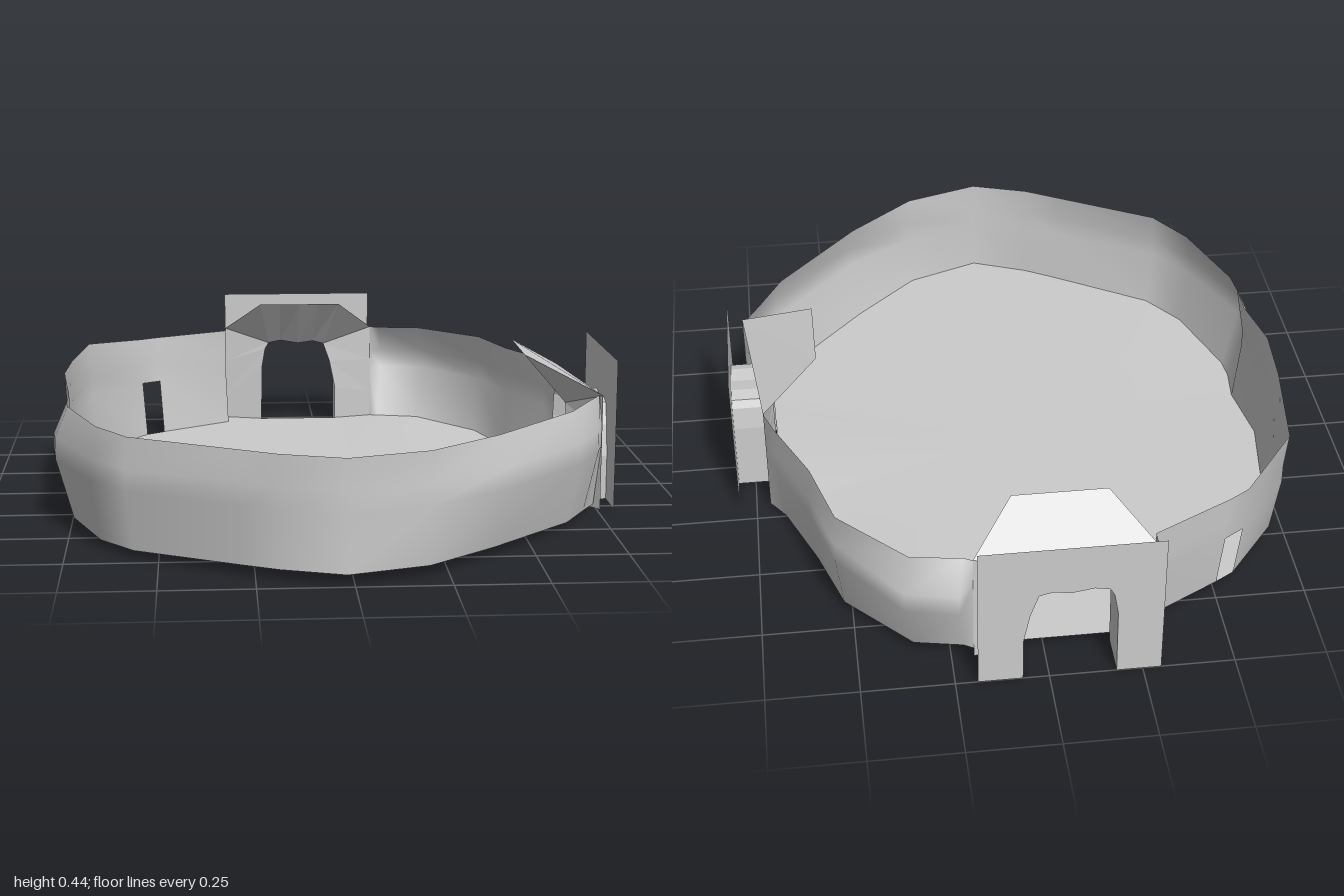
import * as THREE from 'three';

const mat = new THREE.MeshStandardMaterial({ color: 0xcccccc, side: THREE.DoubleSide });
const flat = new THREE.MeshStandardMaterial({ color: 0xcccccc, side: THREE.DoubleSide, flatShading: true });

function mesh(name, geometry, material = mat) {
  const m = new THREE.Mesh(geometry, material);
  m.name = name;
  return m;
}

function indexed(points, index) {
  const g = new THREE.BufferGeometry();
  g.setAttribute('position', new THREE.Float32BufferAttribute(points.flat(), 3));
  g.setIndex(index);
  g.computeVertexNormals();
  return g;
}

// Surface between rows of points; skip(row, column) leaves a hole
function grid(rows, skip = () => false) {
  const n = rows[0].length, index = [];
  for (let r = 0; r < rows.length - 1; r++) {
    for (let c = 0; c < n - 1; c++) {
      if (skip(r, c)) continue;
      const a = r * n + c, b = a + n;
      index.push(a, a + 1, b, a + 1, b + 1, b);
    }
  }
  return indexed(rows.flat(), index);
}

// Wall plan: x, z at mid height, then outward shift of the rim and of the base
const longWall = [
  [0.76, 0.285, -0.01, -0.02], [0.735, 0.37, -0.03, -0.04], [0.66, 0.51, -0.03, -0.04],
  [0.41, 0.79, -0.03, -0.05], [0.2, 0.93, 0, -0.01], [-0.02, 1, 0, 0],
  [-0.19, 0.945, 0, -0.01], [-0.29, 0.9, -0.01, -0.02], [-0.585, 0.735, -0.01, -0.03],
  [-0.68, 0.61, -0.02, -0.03], [-0.79, 0.36, -0.04, -0.05], [-0.798, 0.29, -0.04, -0.05],
  [-0.76, 0.17, 0, -0.02], [-0.78, -0.03, 0.005, -0.01], [-0.765, -0.21, 0.01, -0.02],
  [-0.73, -0.5, 0.01, -0.025], [-0.575, -0.69, 0.01, -0.02], [-0.52, -0.725, 0.01, -0.02],
  [-0.3, -0.85, 0, -0.02], [-0.3, -0.9, 0, 0],
];
const shortWall = [
  [0.19, -0.9, 0, 0], [0.23, -0.945, -0.06, -0.06], [0.37, -0.915, -0.05, -0.06],
  [0.54, -0.69, -0.01, -0.03], [0.6, -0.48, -0.01, -0.02], [0.685, -0.27, 0, -0.02],
  [0.71, -0.2, 0, 0],
];

function ring(wall, level) {
  return wall.map(([x, z, rim, base]) => {
    const shift = [base, 0, 0, rim][level];
    const k = 1 + shift / Math.hypot(x, z);
    const raised = x < -0.6 && z < 0.1 ? 0.022 : 0;
    const y = [0.012 + 0.02 * z * z, 0.19, 0.25, 0.335 + raised][level];
    return [x * k, y, z * k];
  });
}
const wallRows = (wall) => [0, 1, 2, 3].map((level) => ring(wall, level));

// Doorway seen from outside: local +z is outward, the face plate lies at z = 0
const arch = [
  [-0.125, 0], [-0.125, 0.13], [-0.107, 0.22], [-0.085, 0.283], [-0.05, 0.292], [0, 0.285],
  [0.06, 0.295], [0.1, 0.287], [0.112, 0.265], [0.123, 0.2], [0.125, 0],
];

function doorway(name, hoodDepth, leftEnd, rightEnd) {
  const door = new THREE.Group();
  door.name = name;

  const outline = [[-0.245, 0], ...arch, [0.245, 0], [0.245, 0.435], [-0.245, 0.435]];
  const shape = new THREE.Shape(outline.map(([x, y]) => new THREE.Vector2(x, y)));
  door.add(mesh('facePlate', new THREE.ShapeGeometry(shape), flat));

  const inner = -0.12;
  door.add(mesh('tunnel', grid([arch.map(([x, y]) => [x, y, 0]), arch.map(([x, y]) => [x, y, inner])]), flat));

  // Hood folds up from the tunnel roof, then down to the wall rim
  const peak = [[-0.13, 0.435, -hoodDepth], [0.13, 0.435, -hoodDepth]];
  const rim = [[-0.245, 0.335, leftEnd], [0.245, 0.335, rightEnd]];
  door.add(mesh('hoodTop', grid([peak, rim]), flat));
  const roof = arch.slice(3, 8).map(([x, y]) => [x, y, inner]);
  const peakLine = roof.map((p, i) => [-0.13 + 0.065 * i, 0.435, -hoodDepth]);
  door.add(mesh('hoodUnderside', grid([roof, peakLine]), flat));

  // Jambs join the tunnel sides to the wall ends
  [-1, 1].forEach((side, i) => {
    const edge = (side < 0 ? arch.slice(0, 4) : arch.slice(7).reverse()).map(([x, y]) => [x, y, inner]);
    const end = edge.map((p, j) => [side * 0.245, 0.335 * j / 3, rim[i][2]]);
    door.add(mesh(side < 0 ? 'leftJamb' : 'rightJamb', grid([edge, end]), flat));
    door.add(mesh('hoodCheek', indexed([edge[3], peak[i], rim[i]], [0, 1, 2]), flat));
  });
  return door;
}

export function createModel() {
  const model = new THREE.Group();
  model.name = 'arena';

  // Long wall has a small slot low in its back right stretch
  model.add(mesh('longWall', grid(wallRows(longWall), (r, c) => r === 0 && c === 16)));
  model.add(mesh('shortWall', grid(wallRows(shortWall))));

  // Floor fans out from the centre and reaches the inner ends of the tunnels
  const loop = [
    ...ring(longWall, 0), [-0.18, 0.025, -0.88], [0.07, 0.025, -0.88],
    ...ring(shortWall, 0), [0.68, 0.025, -0.08], [0.68, 0.025, 0.17],
  ];
  const fan = loop.flatMap((p, i) => [0, i + 1, (i + 1) % loop.length + 1]);
  model.add(mesh('floor', indexed([[0, 0.03, 0], ...loop], fan)));

  const sideDoor = doorway('sideDoorway', 0.25, -0.04, -0.09);
  sideDoor.position.set(0.8, 0, 0.045);
  sideDoor.rotation.y = Math.PI / 2;
  const backDoor = doorway('backDoorway', 0.23, -0.1, -0.1);
  backDoor.position.set(-0.055, 0, -1);
  backDoor.rotation.y = Math.PI;
  model.add(sideDoor, backDoor);
  return model;
}
